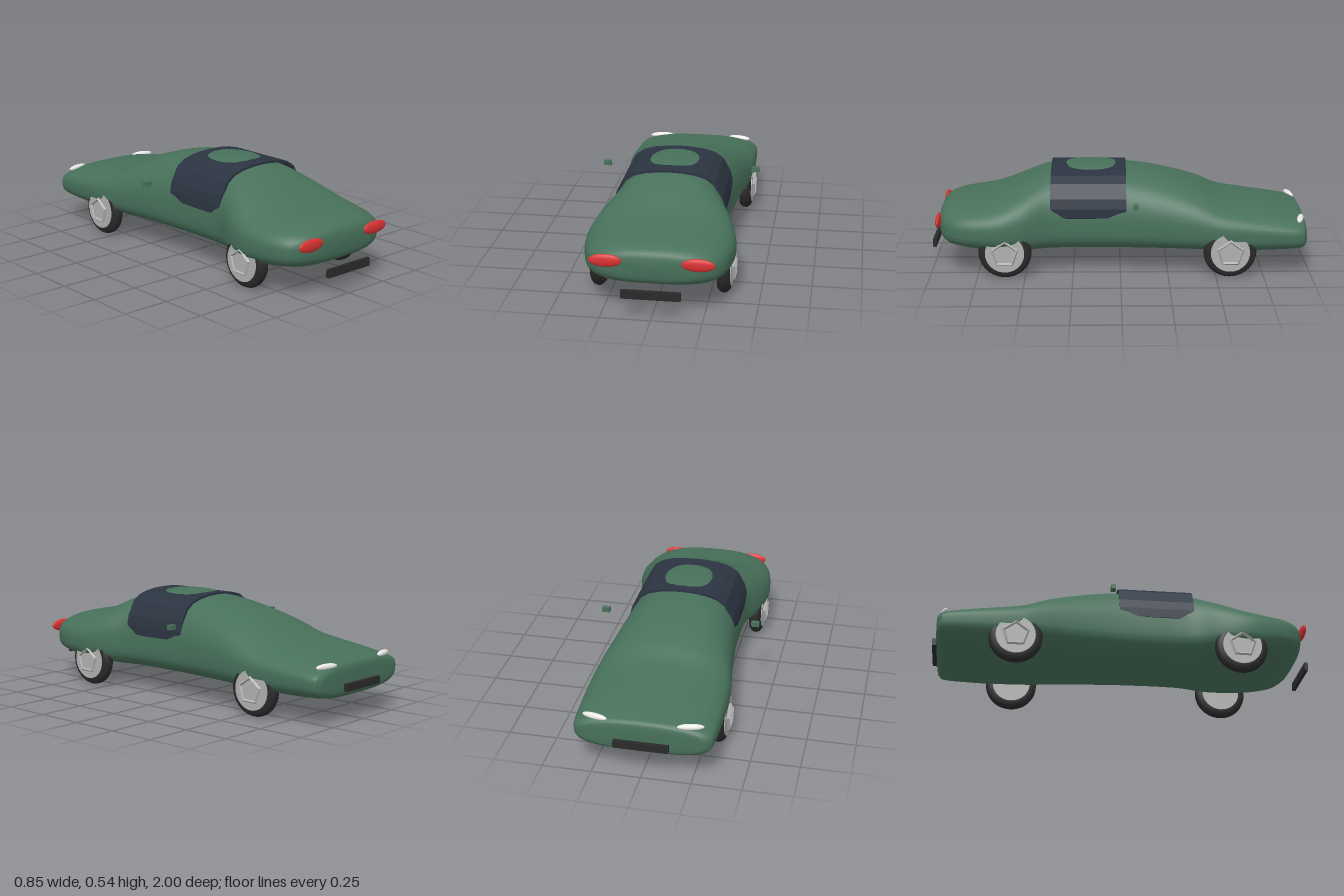
import * as THREE from 'three';

const mat = (color, extra = {}) => new THREE.MeshStandardMaterial({ color, ...extra });
const green = mat(0x47705a);
const navy = mat(0x2b3441);
const red = mat(0xd83232);
const white = mat(0xe8e8e4);
const black = mat(0x2a2a2a);
const steel = mat(0xb0b0b0);
const steelFlat = mat(0xb0b0b0, { flatShading: true });

function add(parent, name, geometry, material, x = 0, y = 0, z = 0) {
  const mesh = new THREE.Mesh(geometry, material);
  mesh.name = name;
  mesh.position.set(x, y, z);
  parent.add(mesh);
  return mesh;
}

// Body stations: z, half width, bottom, widest height, top
const stations = [
  [-0.979, 0.0, 0.22, 0.22, 0.22],
  [-0.977, 0.26, 0.16, 0.22, 0.27],
  [-0.965, 0.325, 0.135, 0.22, 0.295],
  [-0.93, 0.348, 0.122, 0.225, 0.308],
  [-0.8, 0.355, 0.114, 0.23, 0.335],
  [-0.65, 0.358, 0.11, 0.235, 0.36],
  [-0.53, 0.356, 0.11, 0.24, 0.385],
  [-0.42, 0.343, 0.11, 0.245, 0.437],
  [-0.3, 0.325, 0.11, 0.25, 0.477],
  [-0.15, 0.307, 0.11, 0.25, 0.513],
  [0.0, 0.294, 0.11, 0.25, 0.532],
  [0.15, 0.289, 0.11, 0.25, 0.535],
  [0.28, 0.29, 0.11, 0.25, 0.533],
  [0.38, 0.303, 0.11, 0.25, 0.521],
  [0.5, 0.35, 0.112, 0.25, 0.47],
  [0.62, 0.374, 0.118, 0.25, 0.415],
  [0.72, 0.37, 0.125, 0.25, 0.388],
  [0.82, 0.35, 0.137, 0.25, 0.373],
  [0.89, 0.315, 0.15, 0.25, 0.358],
  [0.935, 0.255, 0.172, 0.255, 0.338],
  [0.955, 0.17, 0.2, 0.26, 0.312],
  [0.963, 0.0, 0.265, 0.265, 0.265],
];

// Smooth loft through superelliptic cross-sections
function bodyGeometry() {
  const rings = 110, sides = 56;
  const columns = [0, 1, 2, 3, 4].map(k =>
    new THREE.SplineCurve(stations.map((s, i) => new THREE.Vector2(i, s[k]))));
  const positions = [], index = [];
  const power = (v, n) => Math.sign(v) * Math.abs(v) ** (2 / n);
  for (let i = 0; i <= rings; i++) {
    const [z, w, bottom, mid, top] = columns.map(c => c.getPoint(i / rings).y);
    for (let j = 0; j < sides; j++) {
      const a = (j / sides) * Math.PI * 2;
      const s = Math.sin(a), n = s >= 0 ? 2.5 : 3.2;
      const height = s >= 0 ? top - mid : mid - bottom;
      positions.push(w * power(Math.cos(a), n), mid + height * power(s, n), z);
      if (i < rings) {
        const p = i * sides + j, q = i * sides + (j + 1) % sides;
        index.push(p, q, p + sides, q, q + sides, p + sides);
      }
    }
  }
  const g = new THREE.BufferGeometry();
  g.setAttribute('position', new THREE.Float32BufferAttribute(positions, 3));
  g.setIndex(index);
  g.computeVertexNormals();
  return g;
}

// Dark arched band wrapped over the cabin
function bandGeometry() {
  const half = [[0.288, 0.31], [0.287, 0.36], [0.276, 0.41], [0.237, 0.482],
    [0.19, 0.514], [0.13, 0.53], [0.06, 0.538]];
  const outer = [...half, [0, 0.54], ...half.map(([x, y]) => [-x, y]).reverse()];
  const inner = outer.map(([x, y]) => [x * 0.96, y - 0.012]).reverse();
  const shape = new THREE.Shape([...outer, ...inner].map(p => new THREE.Vector2(...p)));
  return new THREE.ExtrudeGeometry(shape, { depth: 0.395, bevelEnabled: false })
    .translate(0, 0, -0.03);
}

// Wheel built facing +x
function makeWheel() {
  const wheel = new THREE.Group();
  const profile = [[0.09, -0.034], [0.118, -0.032], [0.132, -0.02], [0.138, -0.008],
    [0.138, 0.008], [0.132, 0.02], [0.118, 0.032], [0.09, 0.034]]
    .map(p => new THREE.Vector2(...p));
  add(wheel, 'tyre', new THREE.LatheGeometry(profile, 40).rotateZ(-Math.PI / 2), black);
  add(wheel, 'rim', new THREE.CylinderGeometry(0.102, 0.102, 0.076, 40)
    .rotateZ(-Math.PI / 2), steel);
  add(wheel, 'hubRing', new THREE.TorusGeometry(0.066, 0.009, 4, 5)
    .rotateZ(0.3).rotateY(Math.PI / 2), steelFlat, 0.046);
  return wheel;
}

export function createModel() {
  const car = new THREE.Group();
  car.name = 'car';

  add(car, 'body', bodyGeometry(), green);
  add(car, 'cabinBand', bandGeometry(), navy);
  // Shallow crown showing through the band
  add(car, 'roofCrown', new THREE.SphereGeometry(1, 40, 24), green, 0, 0.53, 0.155)
    .scale.set(0.128, 0.016, 0.165);

  for (const side of [1, -1]) {
    const name = side > 0 ? 'left' : 'right';

    for (const [end, z] of [['Front', 0.603], ['Rear', -0.571]]) {
      const wheel = makeWheel();
      wheel.name = name + end + 'Wheel';
      wheel.position.set(side * 0.318, 0.14, z);
      if (side < 0) wheel.rotation.y = Math.PI;
      car.add(wheel);
    }

    const lamp = new THREE.SphereGeometry(1, 32, 20);
    add(car, name + 'RedLamp', lamp, red, side * 0.225, 0.285, 0.955)
      .scale.set(0.081, 0.033, 0.015);
    const rear = add(car, name + 'WhiteLamp', lamp, white, side * 0.237, 0.292, -0.945);
    rear.scale.set(0.066, 0.016, 0.016);
    rear.rotation.y = side * -0.22;

    add(car, name + 'Mirror', new THREE.BoxGeometry(0.042, 0.025, 0.025), green,
      side * 0.405, 0.408, -0.077);
  }

  // Plates at both ends
  add(car, 'frontPlate', new THREE.BoxGeometry(0.29, 0.043, 0.018), black, 0, 0.132, 0.991);
  add(car, 'rearPlate', new THREE.BoxGeometry(0.275, 0.038, 0.022), black, 0, 0.178, -0.989);
  return car;
}
